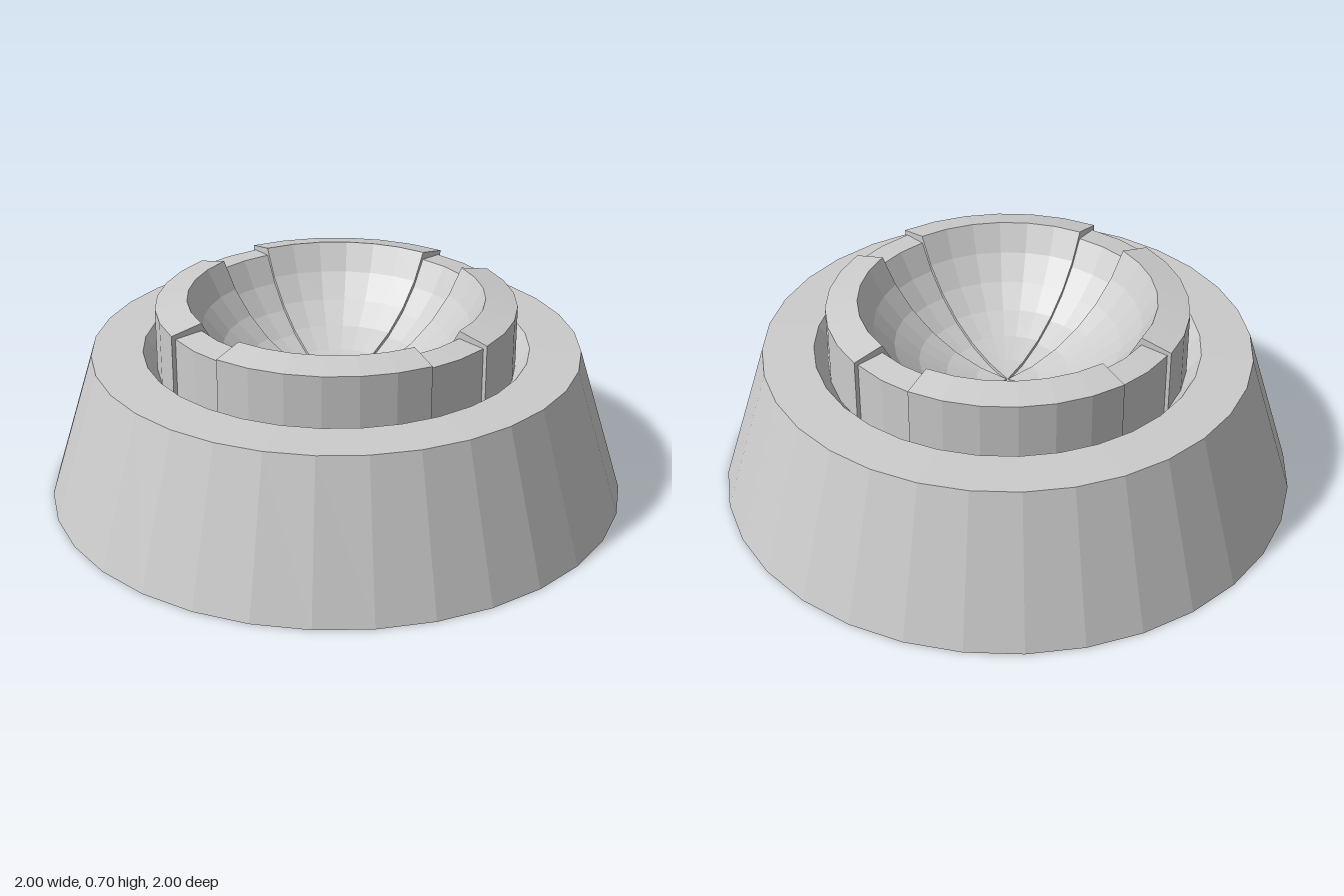
import * as THREE from 'three';

const STEP = Math.PI / 16; // 32-sided construction throughout
const CENTER_Y = 0.915; // centre of the spherical bowl and socket

// Arc of a sphere running inwards from the given rim radius to the axis
function bowlArc(radius, rim, steps) {
  const end = Math.asin(rim / radius), pts = [];
  for (let k = steps; k >= 0; k--) {
    const a = (end * k) / steps;
    pts.push(new THREE.Vector2(k ? radius * Math.sin(a) : 0, CENTER_Y - radius * Math.cos(a)));
  }
  return pts;
}

export function createModel() {
  const group = new THREE.Group();
  const material = new THREE.MeshStandardMaterial({ color: 0xcccccc, flatShading: true, side: THREE.DoubleSide });
  const add = (geometry, name, parent = group) => {
    const mesh = new THREE.Mesh(geometry, material);
    mesh.name = name;
    parent.add(mesh);
    return mesh;
  };
  const v = (x, y) => new THREE.Vector2(x, y);

  // Tapered base with a spherical socket in its top
  add(new THREE.LatheGeometry([
    v(0, 0), v(1, 0), v(0.84, 0.52), ...bowlArc(0.77, 0.664, 6),
  ], 32), 'base');

  // Cup: four raised pads separated by slightly recessed slots
  const pad = [v(0.617, 0.42), v(0.617, 0.68), ...bowlArc(0.55, 0.508, 6)];
  const slot = [v(0.603, 0.42), v(0.603, 0.667), ...bowlArc(0.56, 0.508, 6).map((p) => v(p.x, p.y - 0.002))];
  const padSection = new THREE.Shape([...pad, v(0, 0.3)]);

  for (let i = 0; i < 4; i++) {
    const quarter = new THREE.Group();
    quarter.name = 'cupQuarter';
    quarter.rotation.y = (i * Math.PI) / 2;
    group.add(quarter);
    add(new THREE.LatheGeometry(slot, 2, -STEP, 2 * STEP), 'cupSlot', quarter);
    add(new THREE.LatheGeometry(pad, 6, STEP, 6 * STEP), 'cupPad', quarter);
    // Side walls where the pad steps down to the slots
    for (const phi of [STEP, 7 * STEP]) {
      add(new THREE.ShapeGeometry(padSection), 'padSide', quarter).rotation.y = phi - Math.PI / 2;
    }
  }
  return group;
}
